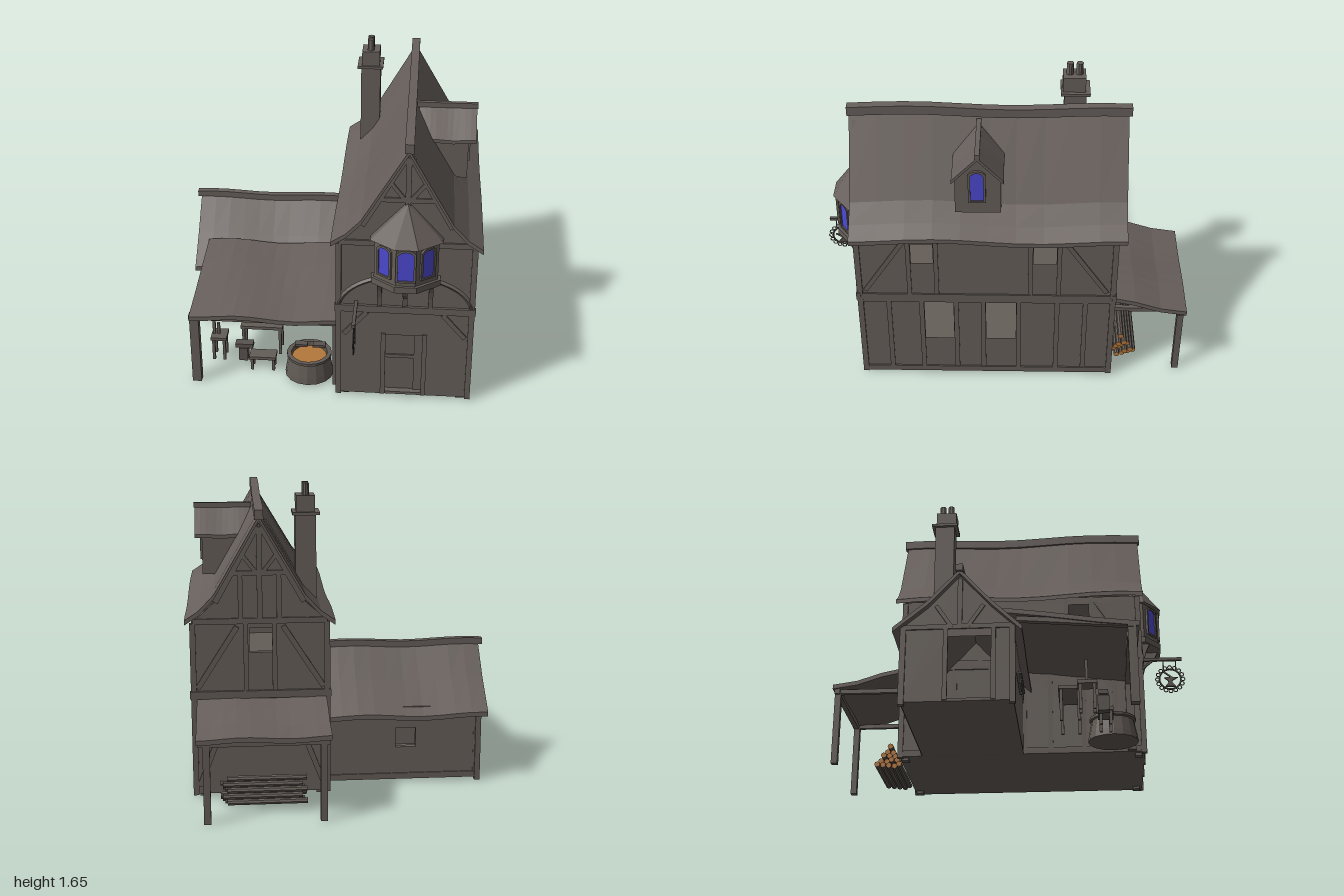
import * as THREE from 'three';
import { ConvexGeometry } from 'three/addons/geometries/ConvexGeometry.js';

const mat = (name, color, extra = {}) => Object.assign(new THREE.MeshStandardMaterial({ color, flatShading: true, ...extra }), { name });
const V = (x, y, z) => new THREE.Vector3(x, y, z);

export function createModel() {
  const root = new THREE.Group();
  root.name = 'smithy';
  const plaster = mat('plaster', 0x665f59);
  const timber = mat('timber', 0x645d57);
  const roofMat = mat('roof', 0x675f5b);
  const iron = mat('iron', 0x59534e);
  const glass = mat('blue glass', 0x4c49d0);
  const cutWood = mat('cut wood', 0xb5783c);

  const add = (name, geo, m, parent = root) => {
    const mesh = new THREE.Mesh(geo, m);
    mesh.name = name;
    parent.add(mesh);
    return mesh;
  };
  // box given by its minimum and maximum corners
  const box = (name, x0, x1, y0, y1, z0, z1, m = timber) => {
    const b = add(name, new THREE.BoxGeometry(x1 - x0, y1 - y0, z1 - z0), m);
    b.position.set((x0 + x1) / 2, (y0 + y1) / 2, (z0 + z1) / 2);
    return b;
  };
  // straight beam between two points
  const beam = (name, a, b, w = 0.03, d = 0.02, m = timber) => {
    const dir = b.clone().sub(a);
    const mesh = add(name, new THREE.BoxGeometry(w, dir.length(), d), m);
    mesh.position.copy(a).add(b).multiplyScalar(0.5);
    mesh.quaternion.setFromUnitVectors(V(0, 1, 0), dir.normalize());
    return mesh;
  };
  const poly = (pts) => new THREE.Shape(pts.map((p) => new THREE.Vector2(p[0], p[1])));
  const rect = (x0, x1, y0, y1) => [[x0, y0], [x1, y0], [x1, y1], [x0, y1]];
  const extrude = (pts, depth, holes = [], steps = 1) => {
    const s = poly(pts);
    s.holes = holes.map((h) => poly(h));
    return new THREE.ExtrudeGeometry(s, { depth, steps, bevelEnabled: false });
  };
  // wall in the xy plane, or in the zy plane with points given as (z, y)
  const wallXY = (name, pts, z, holes, t = 0.03) => add(name, extrude(pts, t, holes).translate(0, 0, z), plaster);
  const flip = (pts) => pts.map(([z, y]) => [-z, y]);
  const wallZY = (name, pts, x, holes = [], t = 0.03) =>
    add(name, extrude(flip(pts), t, holes.map(flip)).rotateY(Math.PI / 2).translate(x, 0, 0), plaster);
  // sheet of roof: upper outline thickened downwards, sagging gently along its length
  const sheet = (top, len, sag, thick = 0.025) => {
    const pts = [...top, ...top.map(([a, y]) => [a, y - thick]).reverse()];
    const g = extrude(pts, len, [], 10);
    const p = g.attributes.position;
    for (let i = 0; i < p.count; i++) {
      const t = p.getZ(i) / len;
      p.setY(i, p.getY(i) + sag * Math.sin(t * 9 + p.getX(i) * 2));
    }
    g.computeVertexNormals();
    return g;
  };

  // main house walls
  const gable = [[0.08, 0.02], [0.79, 0.02], [0.79, 0.95], [0.67, 1.06], [0.435, 1.47], [0.2, 1.06], [0.08, 0.95]];
  wallXY('frontWall', gable, 0.725, [rect(0.325, 0.54, 0.03, 0.4)]);
  wallXY('backWall', gable, -0.6, [rect(0.37, 0.49, 0.79, 0.92)]);
  const upper = [rect(0.355, 0.47, 0.79, 0.915), rect(-0.29, -0.17, 0.79, 0.915)];
  const lower = [rect(0.255, 0.41, 0.26, 0.52), rect(-0.08, 0.08, 0.26, 0.52)];
  const side = rect(-0.6, 0.755, 0.02, 0.96);
  wallZY('leftWall', side, 0.76, [...upper, ...lower]);
  wallZY('rightWall', side, 0.08, [upper[0]]);
  box('groundFloor', 0.08, 0.79, 0.015, 0.03, -0.6, 0.755, plaster);
  box('upperFloor', 0.09, 0.78, 0.54, 0.56, -0.59, 0.745);

  // front door
  box('doorLeaf', 0.33, 0.535, 0.03, 0.395, 0.7, 0.72);
  box('doorRail', 0.33, 0.535, 0.235, 0.255, 0.72, 0.728);
  box('doorStile', 0.49, 0.535, 0.03, 0.395, 0.72, 0.728);

  // timber frame of the main house
  for (const x of [0.085, 0.785]) for (const z of [-0.595, 0.75]) box('cornerPost', x - 0.015, x + 0.015, 0.01, 0.95, z - 0.015, z + 0.015);
  for (const x of [0.12, 0.745]) for (const z of [-0.57, 0.72]) box('foot', x - 0.022, x + 0.022, 0, 0.02, z - 0.02, z + 0.02);
  for (const z of [-0.603, 0.758]) {
    const s = Math.sign(z);
    box('beltBeam', 0.065, 0.805, 0.545, 0.585, z - 0.012, z + 0.012);
    box('collarBeam', 0.28, 0.59, 1.2, 1.225, z - 0.006, z + 0.006);
    for (const m of [-1, 1]) {
      const X = (d) => 0.435 + m * d;
      beam('gableRafter', V(X(0.23), 1.06, z), V(X(0.01), 1.455, z), 0.03, 0.014);
      beam('gableBrace', V(X(0.02), 1.22, z), V(X(0.09), 1.31, z), 0.02, 0.012);
      if (s < 0) {
        beam('upperBrace', V(X(0.33), 0.6, z), V(X(0.12), 0.93, z), 0.028, 0.014);
        beam('gableStrut', V(X(0.1), 0.97, z), V(X(0.1), 1.2, z), 0.025, 0.014);
        beam('lowerBrace', V(X(0.33), 0.06, z), V(X(0.15), 0.53, z), 0.028, 0.014);
        beam('windowPost', V(X(0.075), 0.585, z), V(X(0.075), 0.95, z), 0.025, 0.014);
      } else {
        const arc = new THREE.QuadraticBezierCurve3(V(X(0.35), 0.59, z), V(X(0.31), 0.7, z), V(X(0.16), 0.745, z));
        add('archedBrace', new THREE.TubeGeometry(arc, 8, 0.012, 4), timber);
        beam('doorPost', V(X(0.11), 0.02, z), V(X(0.11), 0.41, z), 0.025, 0.012);
        beam('doorBrace', V(X(0.32), 0.4, z), V(X(0.2), 0.54, z), 0.025, 0.012);
      }
    }
    box('tieBeam', 0.085, 0.785, 0.945, 0.975, z - 0.007, z + 0.007);
    beam('kingPost', V(0.435, 0.97, z), V(0.435, 1.45, z), 0.028, 0.014);
  }
  for (const x of [0.08, 0.79]) {
    box('sideBelt', x - 0.008, x + 0.008, 0.525, 0.58, -0.6, 0.755);
    box('sideSill', x - 0.008, x + 0.008, 0.015, 0.05, -0.6, 0.755);
    for (const z of [0.6, 0.425, 0.24, 0.095, -0.095, -0.3, -0.45]) box('sideStud', x - 0.006, x + 0.006, 0.02, 0.55, z - 0.013, z + 0.013);
    for (const z of [0.485, 0.34, -0.155, -0.305]) box('windowStud', x - 0.006, x + 0.006, 0.58, 0.96, z - 0.012, z + 0.012);
    beam('sideBrace', V(x, 0.6, 0.72), V(x, 0.93, 0.51), 0.012, 0.025);
    beam('sideBrace', V(x, 0.6, -0.56), V(x, 0.93, -0.34), 0.012, 0.025);
  }

  // main roof and ridge
  add('mainRoof', sheet([[0.045, 0.965], [0.12, 1.015], [0.2, 1.1], [0.435, 1.505], [0.67, 1.1], [0.75, 1.015], [0.825, 0.965]], 1.435, 0.012).translate(0, 0, -0.65), roofMat);
  add('mainRidge', sheet([[0.412, 1.54], [0.458, 1.54]], 1.46, 0.009, 0.05).translate(0, 0, -0.665), roofMat);

  // chimney
  box('chimneyStack', 0.13, 0.24, 0.95, 1.485, -0.44, -0.325, plaster);
  box('chimneyLedge', 0.11, 0.255, 1.485, 1.5, -0.46, -0.305, plaster);
  box('chimneyTop', 0.135, 0.235, 1.5, 1.585, -0.435, -0.315, plaster);
  for (const z of [-0.402, -0.352]) add('chimneyPot', new THREE.CylinderGeometry(0.018, 0.02, 0.065, 10), plaster).position.set(0.183, 1.617, z);

  // dormer on the left slope
  wallZY('dormerBody', [[0, 1.09], [0.235, 1.09], [0.235, 1.31], [0.118, 1.43], [0, 1.31]], 0.5, [], 0.24);
  const dormerRoof = [[-0.25, 1.315], [-0.118, 1.455], [0.014, 1.315]];
  add('dormerRoof', sheet(dormerRoof, 0.31, 0.003, 0.02).rotateY(Math.PI / 2).translate(0.47, 0, 0), roofMat);
  box('dormerRidge', 0.46, 0.785, 1.45, 1.478, 0.105, 0.13, roofMat);

  // arched window pane facing +z, with a thin surround
  const arch = (w, h) => [[-w, 0], [w, 0], [w, h * 0.88], [w * 0.6, h * 0.97], [0, h], [-w * 0.6, h * 0.97], [-w, h * 0.88]];
  const pane = (name, w, h, x, y, z, yaw) => {
    const g = new THREE.Group();
    g.name = name;
    add('surround', extrude(arch(w + 0.012, h + 0.02), 0.012, [arch(w, h - 0.002).map(([a, b]) => [a, b + 0.01])]).translate(0, -0.01, 0), timber, g);
    add('glass', extrude(arch(w, h), 0.005), glass, g);
    g.position.set(x, y, z);
    g.rotation.y = yaw;
    root.add(g);
  };
  pane('dormerWindow', 0.033, 0.175, 0.74, 1.17, 0.122, Math.PI / 2);

  // bay window on the front
  const bayPlan = (e) => [[0.27 - e, 0.75], [0.27 - e, 0.79 + e / 2], [0.385 - e / 2, 0.875 + e], [0.485 + e / 2, 0.875 + e], [0.6 + e, 0.79 + e / 2], [0.6 + e, 0.75]];
  const bayBand = (name, e, y0, y1, m) => add(name, extrude(bayPlan(e).map(([x, z]) => [x, -z]), y1 - y0).rotateX(-Math.PI / 2).translate(0, y0, 0), m);
  bayBand('bayBody', 0, 0.77, 1, plaster);
  bayBand('bayBase', 0.014, 0.745, 0.78, timber);
  add('bayRoof', new ConvexGeometry([...bayPlan(0.022).map(([x, z]) => V(x, 1, z)), V(0.435, 1.205, 0.75), V(0.435, 1.195, 0.77)]), roofMat);
  pane('bayWindowMiddle', 0.04, 0.17, 0.435, 0.815, 0.876, 0);
  pane('bayWindowRight', 0.034, 0.16, 0.3265, 0.82, 0.833, -0.637);
  pane('bayWindowLeft', 0.034, 0.16, 0.5435, 0.82, 0.833, 0.637);
  for (const [x, z] of [[0.3, 0.82], [0.435, 0.87], [0.568, 0.82]]) {
    wallZY('bayBracket', [[0.75, 0.59], [0.775, 0.59], [0.785, 0.65], [z - 0.02, 0.7], [z, 0.745], [0.75, 0.745]], x - 0.012, [], 0.024).material = timber;
  }

  // side wing
  const wingGable = [[-0.47, 0.02], [0.09, 0.02], [0.09, 0.42], [-0.18, 0.695], [-0.47, 0.42]];
  wallZY('wingGableWall', wingGable, -0.76, [rect(-0.24, -0.02, 0.03, 0.36)]);
  wallXY('wingBackWall', rect(-0.755, 0.08, 0.02, 0.43), -0.468, [rect(-0.41, -0.3, 0.2, 0.31)]);
  wallXY('wingFrontWall', rect(-0.755, 0.08, 0.02, 0.43), 0.058, []);
  box('wingFloor', -0.76, 0.08, 0.015, 0.03, -0.47, 0.09, plaster);
  const wingTop = [[-0.135, 0.395], [0.02, 0.54], [0.18, 0.715], [0.34, 0.54], [0.515, 0.395]];
  add('wingRoof', sheet(wingTop, 0.885, 0.008).rotateY(Math.PI / 2).translate(-0.8, 0, 0), roofMat);
  add('wingRidge', sheet([[0.162, 0.735], [0.2, 0.735]], 0.9, 0.006, 0.035).rotateY(Math.PI / 2).translate(-0.82, 0, 0), roofMat);
  for (const z of [-0.465, 0.085]) box('wingPost', -0.77, -0.74, 0, 0.42, z - 0.015, z + 0.015);
  box('wingTie', -0.768, -0.755, 0.4, 0.425, -0.47, 0.09);
  for (const z of [-0.25, -0.01]) box('wingDoorPost', -0.768, -0.755, 0.02, 0.4, z - 0.012, z + 0.012);
  beam('wingKingPost', V(-0.762, 0.41, -0.18), V(-0.762, 0.68, -0.18), 0.014, 0.025);
  for (const z of [-0.38, 0.02]) beam('wingStrut', V(-0.762, 0.41, -0.18 + (z + 0.18) * 0.2), V(-0.762, 0.53, z * 0.6 - 0.072), 0.014, 0.02);
  box('wingSill', -0.76, 0.08, 0.02, 0.05, -0.475, -0.465);

  // lean-to over the forge yard
  const yardTop = [[-0.72, 0.44], [-0.5, 0.465], [-0.25, 0.5], [-0.03, 0.525]];
  add('yardRoof', sheet(yardTop, 0.81, 0.01).rotateY(Math.PI / 2).translate(-0.73, 0, 0), roofMat);
  box('yardPost', -0.73, -0.68, 0, 0.41, 0.66, 0.705);
  box('yardPostByHouse', 0.05, 0.08, 0.02, 0.41, 0.66, 0.705);
  box('yardBeam', -0.735, 0.08, 0.4, 0.425, 0.66, 0.7);
  beam('yardSideBeam', V(-0.705, 0.42, 0.69), V(-0.705, 0.47, 0.1), 0.03, 0.025);

  // lean-to over the log store
  const storeTop = [[0.6, 0.545], [0.72, 0.52], [0.86, 0.475], [1, 0.455]];
  add('storeRoof', sheet(storeTop, 0.68, 0.006).rotateY(Math.PI / 2).translate(0.09, 0, 0), roofMat);
  for (const x of [0.13, 0.72]) {
    box('storePost', x - 0.018, x + 0.018, 0, 0.42, -0.99, -0.955);
    box('storeSideBeam', x - 0.012, x + 0.012, 0.415, 0.44, -0.98, -0.6);
  }
  box('storeBeam', 0.1, 0.76, 0.41, 0.44, -0.99, -0.96);
  for (let row = 0; row < 5; row++) for (let i = 0; i < 5 - row; i++) {
    const log = add('log', new THREE.CylinderGeometry(0.016, 0.016, 0.42, 8), [timber, cutWood, cutWood]);
    log.rotation.z = Math.PI / 2;
    log.position.set(0.41 + ((i * 7 + row * 5) % 4) * 0.012, 0.017 + row * 0.026, -0.62 - i * 0.031 - row * 0.013);
  }

  // hanging sign with an anvil in a ring
  box('signArm', 0.17, 0.188, 0.588, 0.605, 0.75, 0.99, iron);
  beam('signBrace', V(0.179, 0.535, 0.755), V(0.179, 0.595, 0.83), 0.012, 0.012, iron);
  const ring = (name, r, t, y, z) => {
    const m = add(name, new THREE.TorusGeometry(r, t, 5, r > 0.03 ? 24 : 8), iron);
    m.rotation.y = Math.PI / 2;
    m.position.set(0.179, y, z);
  };
  ring('signRing', 0.06, 0.005, 0.475, 0.92);
  for (let i = 0; i < 16; i++) ring('signScallop', 0.011, 0.003, 0.475 + 0.072 * Math.sin(i * Math.PI / 8), 0.92 + 0.072 * Math.cos(i * Math.PI / 8));
  for (const z of [0.885, 0.955]) beam('signChain', V(0.179, 0.53, z), V(0.179, 0.59, z), 0.006, 0.006, iron);
  wallZY('signAnvil', [[0.89, 0.43], [0.95, 0.43], [0.93, 0.455], [0.935, 0.468], [0.965, 0.485], [0.885, 0.485], [0.905, 0.468], [0.91, 0.455]], 0.173, [], 0.012).material = iron;
  beam('signHammer', V(0.179, 0.485, 0.93), V(0.179, 0.52, 0.885), 0.008, 0.008, iron);

  // forge pit with hot coals
  const pit = [[0, 0.015], [0.135, 0.015], [0.13, 0.05], [0.115, 0.125], [0.125, 0.13], [0.125, 0.145], [0.1, 0.145], [0.095, 0.11]].map((p) => new THREE.Vector2(...p));
  add('forgePit', new THREE.LatheGeometry(pit, 16), mat('stone', 0x605953, { side: THREE.DoubleSide })).position.set(-0.09, 0, 0.58);
  add('coals', new THREE.CylinderGeometry(0.098, 0.098, 0.01, 16), cutWood).position.set(-0.09, 0.115, 0.58);
  for (const x of [-0.14, -0.04]) box('forgeGrate', x - 0.035, x + 0.035, 0.145, 0.16, 0.5, 0.54, iron);

  // workbench, stool, tool rack and press
  const table = (name, x0, x1, h, z0, z1) => {
    box(name + 'Top', x0, x1, h - 0.018, h, z0, z1);
    for (const x of [x0 + 0.015, x1 - 0.015]) for (const z of [z0 + 0.015, z1 - 0.015]) box(name + 'Leg', x - 0.008, x + 0.008, 0, h - 0.018, z - 0.008, z + 0.008);
  };
  table('workbench', -0.5, -0.26, 0.185, 0.3, 0.42);
  table('lowBench', -0.43, -0.28, 0.09, 0.5, 0.58);
  table('press', -0.66, -0.57, 0.15, 0.4, 0.5);
  for (const x of [-0.645, -0.62]) box('pressPost', x - 0.008, x + 0.008, 0.15, x < -0.63 ? 0.26 : 0.22, 0.44, 0.455);
  box('anvilBlock', -0.49, -0.44, 0.05, 0.13, 0.5, 0.56, iron);
  box('anvilTop', -0.51, -0.41, 0.13, 0.155, 0.505, 0.555, iron);
  box('toolRail', -0.54, -0.24, 0.24, 0.25, 0.09, 0.105);
  for (let i = 0; i < 8; i++) {
    box('toolHandle', -0.53 + i * 0.038, -0.523 + i * 0.038, 0.19, 0.25, 0.105, 0.112);
    box('toolHead', -0.54 + i * 0.038, -0.513 + i * 0.038, 0.243, 0.255, 0.1, 0.118, iron);
  }
  return root;
}
